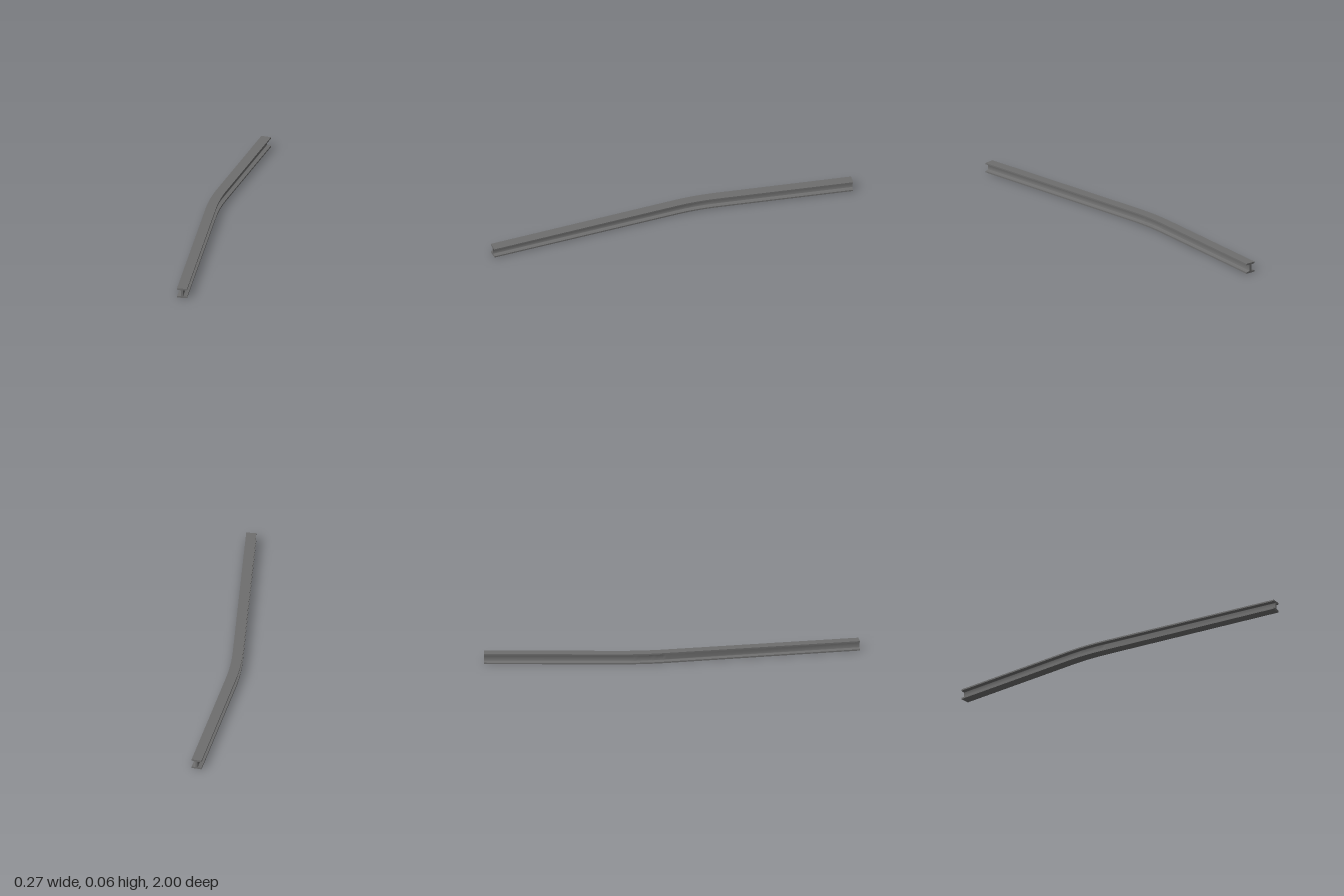
import * as THREE from 'three';
import { toCreasedNormals } from 'three/addons/utils/BufferGeometryUtils.js';

const HALF_W = 0.027, HALF_H = 0.0285, WEB = 0.0055;
const BEND = THREE.MathUtils.degToRad(10.5), CORNER_Z = -0.149, TANGENT = 0.12, ARC_STEPS = 12;

// I-shaped section, centred on the origin, with fillets between web and flanges
function beamSection() {
  const tip = HALF_H - 0.008, root = HALF_H - 0.0105, r = 0.004;
  const s = new THREE.Shape();
  s.moveTo(-HALF_W, -HALF_H);
  s.lineTo(HALF_W, -HALF_H);
  s.lineTo(HALF_W, -tip);
  s.lineTo(WEB + r, -root);
  s.quadraticCurveTo(WEB, -root, WEB, -root + r);
  s.lineTo(WEB, root - r);
  s.quadraticCurveTo(WEB, root, WEB + r, root);
  s.lineTo(HALF_W, tip);
  s.lineTo(HALF_W, HALF_H);
  s.lineTo(-HALF_W, HALF_H);
  s.lineTo(-HALF_W, tip);
  s.lineTo(-WEB - r, root);
  s.quadraticCurveTo(-WEB, root, -WEB, root - r);
  s.lineTo(-WEB, -root + r);
  s.quadraticCurveTo(-WEB, -root, -WEB - r, -root);
  s.lineTo(-HALF_W, -tip);
  s.closePath();
  return s;
}

// Stations along the centre line: straight run, circular bend, straight run
function beamStations() {
  const x0 = -0.106, z0 = CORNER_Z - TANGENT, radius = TANGENT / Math.tan(BEND / 2);
  const stations = [{ x: x0, z: -1, a: 0, h: 1 }];
  for (let i = 0; i <= ARC_STEPS; i++) {
    const a = BEND * i / ARC_STEPS;
    stations.push({ x: x0 + radius * (1 - Math.cos(a)), z: z0 + radius * Math.sin(a), a, h: 1 });
  }
  const last = stations[stations.length - 1];
  const endZ = 1 - HALF_W * Math.sin(BEND);
  // the front run gets very slightly shallower towards its end
  stations.push({ x: last.x + (endZ - last.z) * Math.tan(BEND), z: endZ, a: BEND, h: 0.94 });
  return stations;
}

export function createModel() {
  const group = new THREE.Group();
  group.name = 'bentBeam';

  const stations = beamStations(), steps = stations.length - 1;
  const geo = new THREE.ExtrudeGeometry(beamSection(), {
    depth: steps, steps, bevelEnabled: false, curveSegments: 4,
  });

  // Carry each extruded section onto its station
  const p = geo.attributes.position;
  for (let i = 0; i < p.count; i++) {
    const st = stations[Math.round(p.getZ(i))], u = p.getX(i);
    p.setXYZ(i, st.x + u * Math.cos(st.a), HALF_H + p.getY(i) * st.h, st.z - u * Math.sin(st.a));
  }

  // Dark steel beam
  const beam = new THREE.Mesh(
    toCreasedNormals(geo, 0.6),
    new THREE.MeshStandardMaterial({ color: 0x6e6e6e }),
  );
  beam.name = 'beam';
  group.add(beam);
  return group;
}
